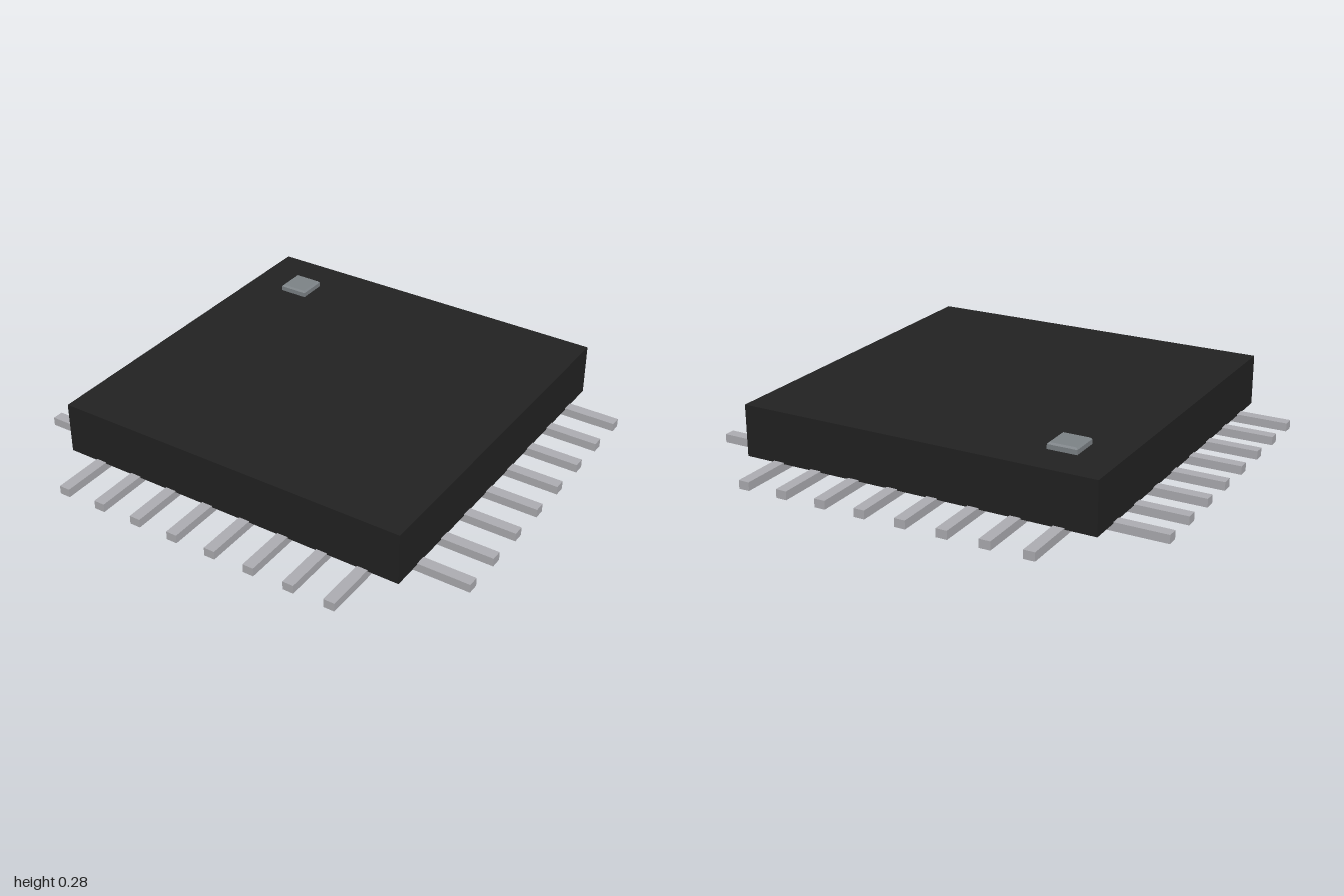
import * as THREE from 'three';

export function createModel() {
  const model = new THREE.Group();
  model.name = 'microchip';
  const material = (name, color) => {
    const m = new THREE.MeshStandardMaterial({ color });
    m.name = name;
    return m;
  };
  const black = material('black casing', 0x222222);
  const silver = material('silver metal', 0xaeaeb3);
  const grey = material('grey marker', 0x7d8387);

  const add = (name, geometry, mat, parent = model) => {
    const mesh = new THREE.Mesh(geometry, mat);
    mesh.name = name;
    parent.add(mesh);
    return mesh;
  };

  // Square casing
  add('casing', new THREE.BoxGeometry(1.555, 0.22, 1.555), black).position.y = 0.14;

  // Corner marker with a small chamfer around its top
  const size = 0.125, bevel = 0.007, h = size / 2 - bevel;
  const square = new THREE.Shape([
    new THREE.Vector2(-h, -h), new THREE.Vector2(h, -h),
    new THREE.Vector2(h, h), new THREE.Vector2(-h, h),
  ]);
  const markerGeometry = new THREE.ExtrudeGeometry(square, {
    depth: 0.023, bevelEnabled: true, bevelSegments: 1, bevelSize: bevel, bevelThickness: bevel,
  });
  markerGeometry.rotateX(-Math.PI / 2);
  add('cornerMarker', markerGeometry, grey).position.set(-0.548, 0.247, -0.548);

  // Eight flat pins on each of the four sides
  const pinGeometry = new THREE.BoxGeometry(0.047, 0.036, 0.288);
  for (let side = 0; side < 4; side++) {
    const row = new THREE.Group();
    row.name = `${['front', 'left', 'back', 'right'][side]}Pins`;
    row.rotation.y = side * Math.PI / 2;
    for (let i = 0; i < 8; i++) {
      add('pin', pinGeometry, silver, row).position.set((i - 3.5) * 0.178, 0.018, 0.856);
    }
    model.add(row);
  }
  return model;
}
